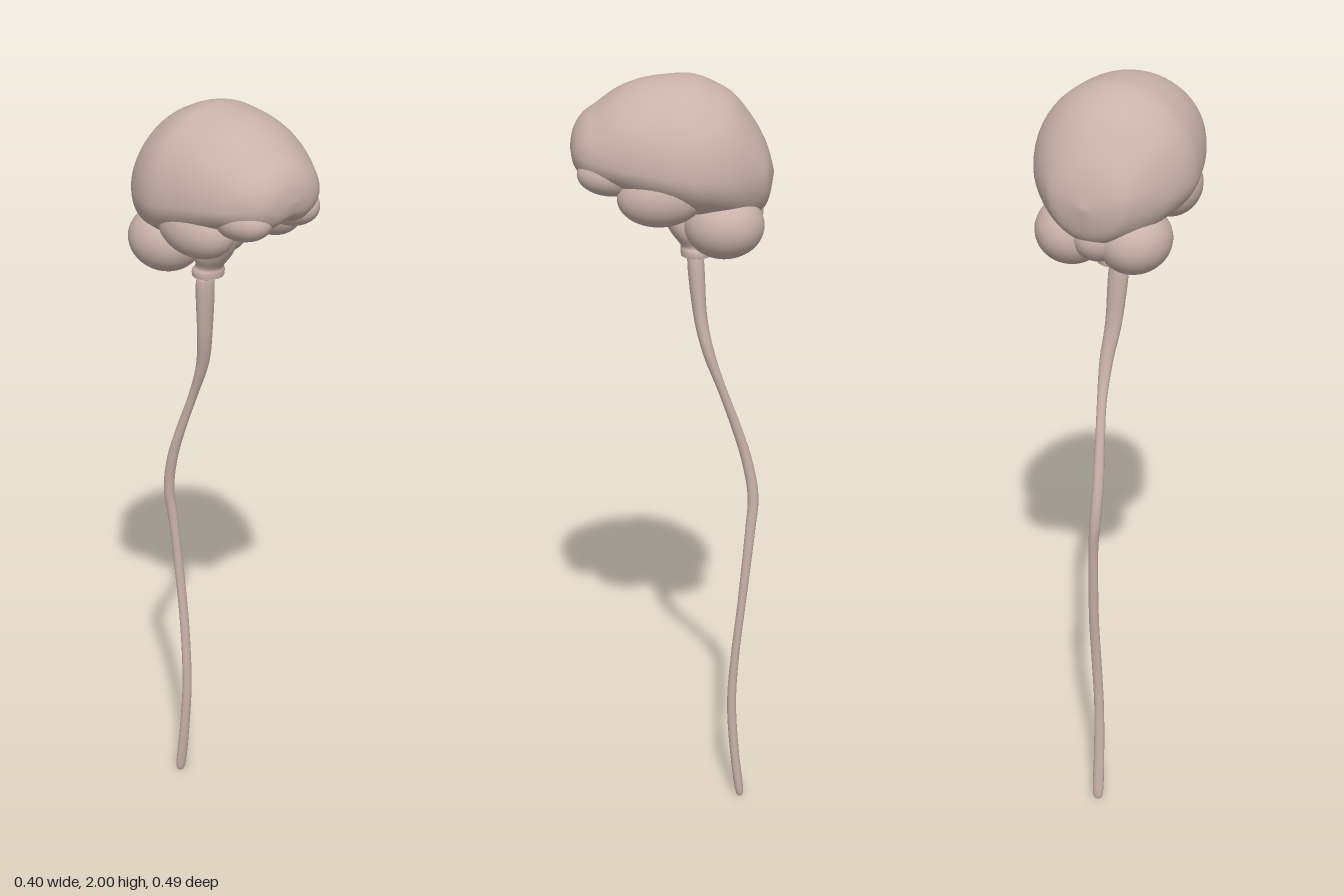
import * as THREE from 'three';
import { mergeVertices } from 'three/addons/utils/BufferGeometryUtils.js';

const material = new THREE.MeshStandardMaterial({ color: 0xc9b2a9, roughness: 0.8 });

// Smooth interpolation through table rows; returns t (0..1) -> array of values
function rowSampler(rows) {
  return (t) => {
    const f = t * (rows.length - 1);
    const i = Math.min(Math.floor(f), rows.length - 2);
    const k = f - i;
    const row = (n) => rows[Math.max(0, Math.min(rows.length - 1, n))];
    return rows[0].map((_, c) => {
      const [a, b, d, e] = [row(i - 1)[c], row(i)[c], row(i + 1)[c], row(i + 2)[c]];
      return b + 0.5 * k * (d - a + k * (2 * a - 5 * b + 4 * d - e + k * (3 * (b - d) + e - a)));
    });
  };
}

// Closed skin over rings: ring(values, angle) gives one point
function loft(name, rows, ring, around = 40, along = 60) {
  const sample = rowSampler(rows);
  const positions = [];
  const index = [];
  for (let j = 0; j <= along; j++) {
    const values = sample(j / along);
    for (let i = 0; i < around; i++) positions.push(...ring(values, (i / around) * Math.PI * 2));
  }
  for (let j = 0; j < along; j++) {
    for (let i = 0; i < around; i++) {
      const a = j * around + i;
      const b = j * around + ((i + 1) % around);
      index.push(a, a + around, b, b, a + around, b + around);
    }
  }
  let geometry = new THREE.BufferGeometry();
  geometry.setAttribute('position', new THREE.Float32BufferAttribute(positions, 3));
  geometry.setIndex(index);
  geometry = mergeVertices(geometry, 1e-5);
  geometry.computeVertexNormals();
  const mesh = new THREE.Mesh(geometry, material);
  mesh.name = name;
  return mesh;
}

// Ring in the xz plane for stem and cord rows: [y, x, z, radiusX, radiusZ]
const flatRing = ([y, x, z, rx, rz], a) => [x + rx * Math.cos(a), y, z - rz * Math.sin(a)];

function lobe(name, position, radii, tilt = [0, 0, 0]) {
  const mesh = new THREE.Mesh(new THREE.SphereGeometry(1, 32, 24), material);
  mesh.name = name;
  mesh.position.set(...position);
  mesh.scale.set(...radii);
  mesh.rotation.set(...tilt);
  return mesh;
}

export function createModel() {
  const model = new THREE.Group();
  model.name = 'brainAndSpinalCord';

  // Cerebrum rows, front to back: [z, top, bottom, halfWidth, widestHeight, undersideNotch]
  const cerebrumRows = [
    [0.245, 1.83, 1.83, 0, 1.83, 0],
    [0.237, 1.872, 1.788, 0.065, 1.828, 0.01],
    [0.215, 1.907, 1.76, 0.104, 1.825, 0.02],
    [0.18, 1.933, 1.742, 0.132, 1.82, 0.03],
    [0.13, 1.968, 1.732, 0.16, 1.815, 0.03],
    [0.07, 1.99, 1.71, 0.182, 1.81, 0.02],
    [0.0, 1.999, 1.69, 0.197, 1.8, 0],
    [-0.05, 1.998, 1.67, 0.2, 1.795, 0],
    [-0.1, 1.98, 1.665, 0.187, 1.79, 0],
    [-0.15, 1.948, 1.655, 0.16, 1.785, 0],
    [-0.2, 1.882, 1.665, 0.118, 1.78, 0],
    [-0.228, 1.825, 1.695, 0.08, 1.77, 0],
    [-0.244, 1.765, 1.765, 0, 1.765, 0],
  ];
  model.add(loft('cerebrum', cerebrumRows, ([z, top, bottom, w, mid, notch], a) => {
    const x = w * Math.cos(a);
    const s = Math.sin(a);
    if (s >= 0) return [x, mid + (top - mid) * s, z];
    return [x, mid + (mid - bottom) * s - notch * s * Math.exp(-((x / 0.035) ** 2)), z];
  }, 56, 72));

  // Paired lobes under the cerebrum
  for (const [side, s] of [['left', 1], ['right', -1]]) {
    model.add(lobe(side + 'FrontalUnderside', [s * 0.075, 1.782, 0.14], [0.062, 0.052, 0.088]));
    model.add(lobe(side + 'TemporalLobe', [s * 0.115, 1.738, 0.03], [0.07, 0.072, 0.105], [0.1, s * -0.12, 0]));
    model.add(lobe(side + 'CerebellumLobe', [s * 0.08, 1.655, -0.122], [0.088, 0.08, 0.096], [0, 0, s * 0.2]));
  }
  model.add(lobe('cerebellumMiddle', [0, 1.665, -0.135], [0.07, 0.065, 0.085]));

  // Brainstem, bulging at the pons and ending in a small rim
  model.add(loft('brainstem', [
    [1.74, 0, -0.01, 0, 0],
    [1.73, 0, -0.01, 0.03, 0.03],
    [1.685, 0, -0.012, 0.036, 0.038],
    [1.65, 0, -0.022, 0.048, 0.044],
    [1.615, 0, -0.038, 0.048, 0.042],
    [1.585, 0, -0.052, 0.036, 0.034],
    [1.572, 0, -0.057, 0.041, 0.038],
    [1.56, 0, -0.058, 0.041, 0.038],
    [1.556, 0, -0.058, 0.036, 0.034],
    [1.556, 0, -0.058, 0, 0],
  ], flatRing, 28, 45));

  // Spinal cord, gently swaying down to a rounded tip
  model.add(loft('spinalCord', [
    [1.546, -0.012, -0.056, 0, 0],
    [1.544, -0.012, -0.056, 0.024, 0.02],
    [1.4, -0.003, -0.068, 0.021, 0.017],
    [1.3, 0.008, -0.09, 0.017, 0.015],
    [1.2, 0.006, -0.125, 0.012, 0.012],
    [1.1, -0.003, -0.16, 0.012, 0.013],
    [1.0, -0.01, -0.19, 0.014, 0.014],
    [0.9, -0.008, -0.207, 0.014, 0.014],
    [0.8, 0.0, -0.2, 0.012, 0.013],
    [0.6, 0.008, -0.181, 0.013, 0.011],
    [0.45, 0.008, -0.166, 0.013, 0.011],
    [0.3, 0.005, -0.158, 0.013, 0.012],
    [0.15, 0.002, -0.167, 0.014, 0.012],
    [0.02, 0, -0.182, 0.014, 0.011],
    [0.002, 0, -0.183, 0, 0],
  ], flatRing, 20, 84));

  return model;
}
